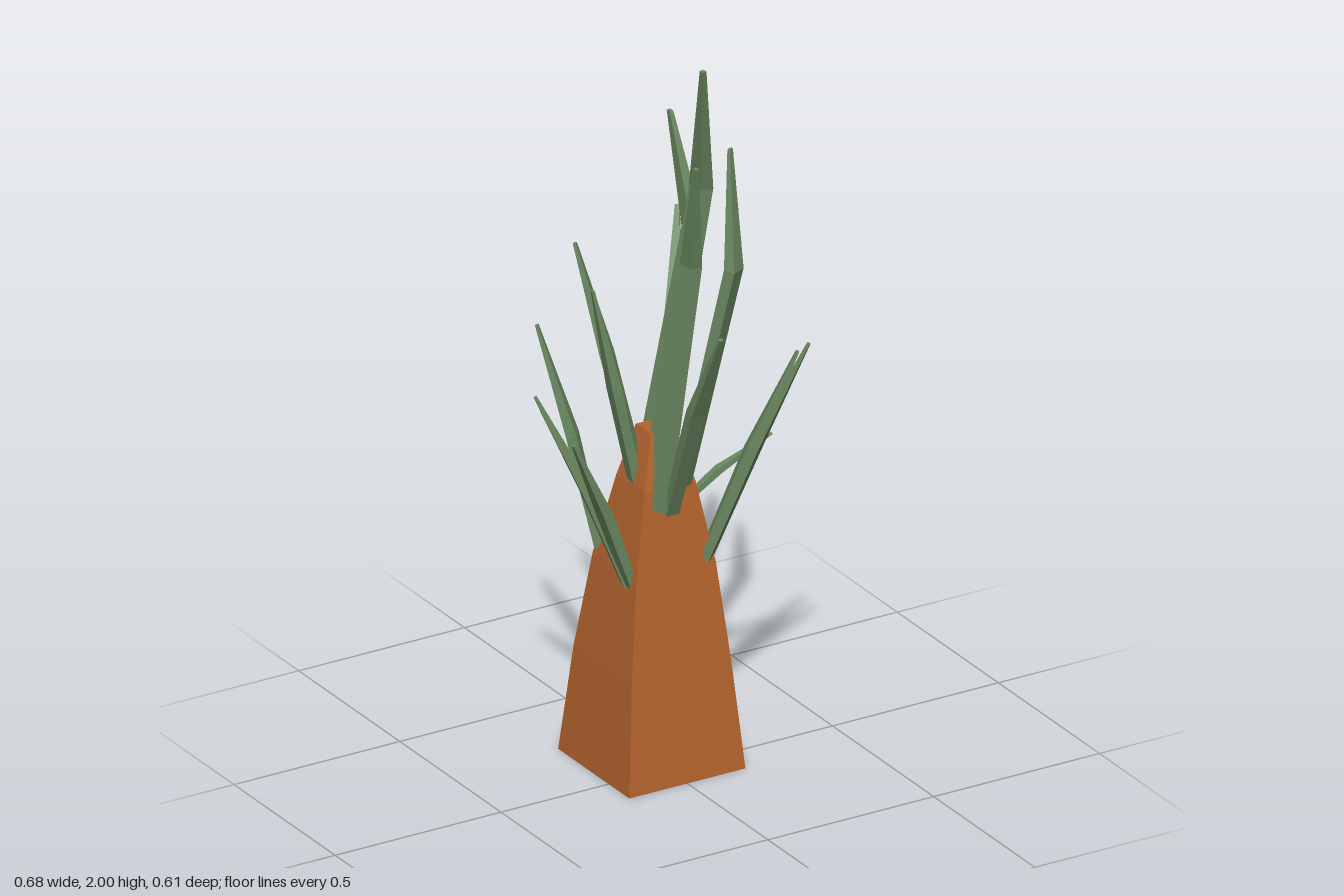
import * as THREE from 'three';

// Skin a list of four-cornered rings (counter-clockwise seen from the far end)
function loft(rings, capStart, capEnd) {
  const pos = rings.flat().flatMap((p) => [p.x, p.y, p.z]);
  const index = [];
  for (let r = 0; r < rings.length - 1; r++) {
    for (let i = 0; i < 4; i++) {
      const a = r * 4 + i, b = r * 4 + (i + 1) % 4;
      index.push(a, b, b + 4, a, b + 4, a + 4);
    }
  }
  const e = (rings.length - 1) * 4;
  if (capStart) index.push(0, 2, 1, 0, 3, 2);
  if (capEnd) index.push(e, e + 1, e + 2, e, e + 2, e + 3);
  const geo = new THREE.BufferGeometry();
  geo.setAttribute('position', new THREE.Float32BufferAttribute(pos, 3));
  geo.setIndex(index);
  const flat = geo.toNonIndexed();
  flat.computeVertexNormals();
  return flat;
}

// Leaf: a four-sided blade through base, bend and tip
function leafGeometry(base, bend, tip, width) {
  const p = [base, bend, tip].map((c) => new THREE.Vector3(...c));
  const lean = p[1].clone().sub(p[0]).setY(0).normalize();
  const u = lean.cross(new THREE.Vector3(0, 1, 0)).normalize();
  const sizes = [0.85, 1, 0.28];
  const rings = p.map((c, i) => {
    const dir = p[Math.min(i + 1, 2)].clone().sub(p[Math.max(i - 1, 0)]).normalize();
    const v = dir.clone().cross(u).normalize();
    const w = width * sizes[i] / 2, d = w * 0.7;
    return [[-w, -d], [w, -d], [w, d], [-w, d]].map(([a, b]) =>
      c.clone().addScaledVector(u, a).addScaledVector(v, b));
  });
  return loft(rings, true, true);
}

export function createModel() {
  const group = new THREE.Group();
  const bark = new THREE.MeshStandardMaterial({ color: 0xb5642e, side: THREE.DoubleSide });
  bark.name = 'orange bark';
  const green = new THREE.MeshStandardMaterial({ color: 0x6b8a62 });
  green.name = 'leaf green';

  // Trunk: tapering square sections, open underneath [y, xMin, xMax, zMin, zMax]
  const sections = [
    [0, -0.175, 0.175, -0.25, 0.102],
    [0.3, -0.147, 0.153, -0.22, 0.068],
    [0.57, -0.11, 0.13, -0.186, 0.03],
    [0.8, -0.065, 0.088, -0.142, -0.003],
    [0.94, -0.02, 0.055, -0.12, -0.045],
  ];
  const rings = sections.map(([y, x0, x1, z0, z1]) =>
    [[x0, z1], [x1, z1], [x1, z0], [x0, z0]].map(([x, z]) => new THREE.Vector3(x, y, z)));
  const trunk = new THREE.Mesh(loft(rings, false, true), bark);
  trunk.name = 'trunk';
  group.add(trunk);

  // Leaves: base, bend, tip, width
  const leaves = [
    // tall crown leaves
    [[-0.02, 0.8, -0.035], [0.13, 1.61, -0.043], [0.07, 1.995, 0.065], 0.055],
    [[0.05, 0.8, 0.0], [0.118, 1.45, 0.138], [0.135, 1.77, 0.092], 0.045],
    [[0.01, 0.82, -0.12], [0.155, 1.45, -0.122], [0.135, 1.76, -0.205], 0.055],
    [[-0.03, 0.75, 0.015], [0.07, 1.42, 0.005], [0.035, 1.735, 0.088], 0.05],
    // middle leaves
    [[0.05, 0.8, -0.09], [0.14, 1.15, -0.2], [0.215, 1.435, -0.3], 0.045],
    [[-0.03, 0.8, -0.08], [-0.095, 1.15, -0.14], [-0.155, 1.455, -0.2], 0.042],
    [[-0.04, 0.75, -0.075], [-0.11, 1.08, -0.08], [-0.172, 1.37, -0.085], 0.038],
    [[0.0, 0.74, 0.02], [-0.01, 1.08, 0.16], [-0.02, 1.347, 0.3], 0.042],
    // low leaves
    [[0.11, 0.58, 0.015], [0.195, 0.93, 0.125], [0.28, 1.24, 0.242], 0.042],
    [[0.11, 0.58, 0.005], [0.215, 0.88, 0.06], [0.32, 1.16, 0.122], 0.04],
    [[-0.095, 0.59, -0.175], [-0.15, 0.9, -0.22], [-0.22, 1.205, -0.282], 0.04],
    [[-0.1, 0.54, -0.03], [-0.205, 0.82, -0.06], [-0.335, 1.1, -0.1], 0.045],
    [[-0.1, 0.54, -0.01], [-0.185, 0.77, -0.005], [-0.293, 1.0, 0.021], 0.04],
    [[0.1, 0.71, -0.075], [0.19, 0.785, -0.055], [0.333, 0.865, -0.026], 0.024],
  ];
  leaves.forEach(([base, bend, tip, width], i) => {
    const leaf = new THREE.Mesh(leafGeometry(base, bend, tip, width), green);
    leaf.name = `leaf${i + 1}`;
    group.add(leaf);
  });
  return group;
}
